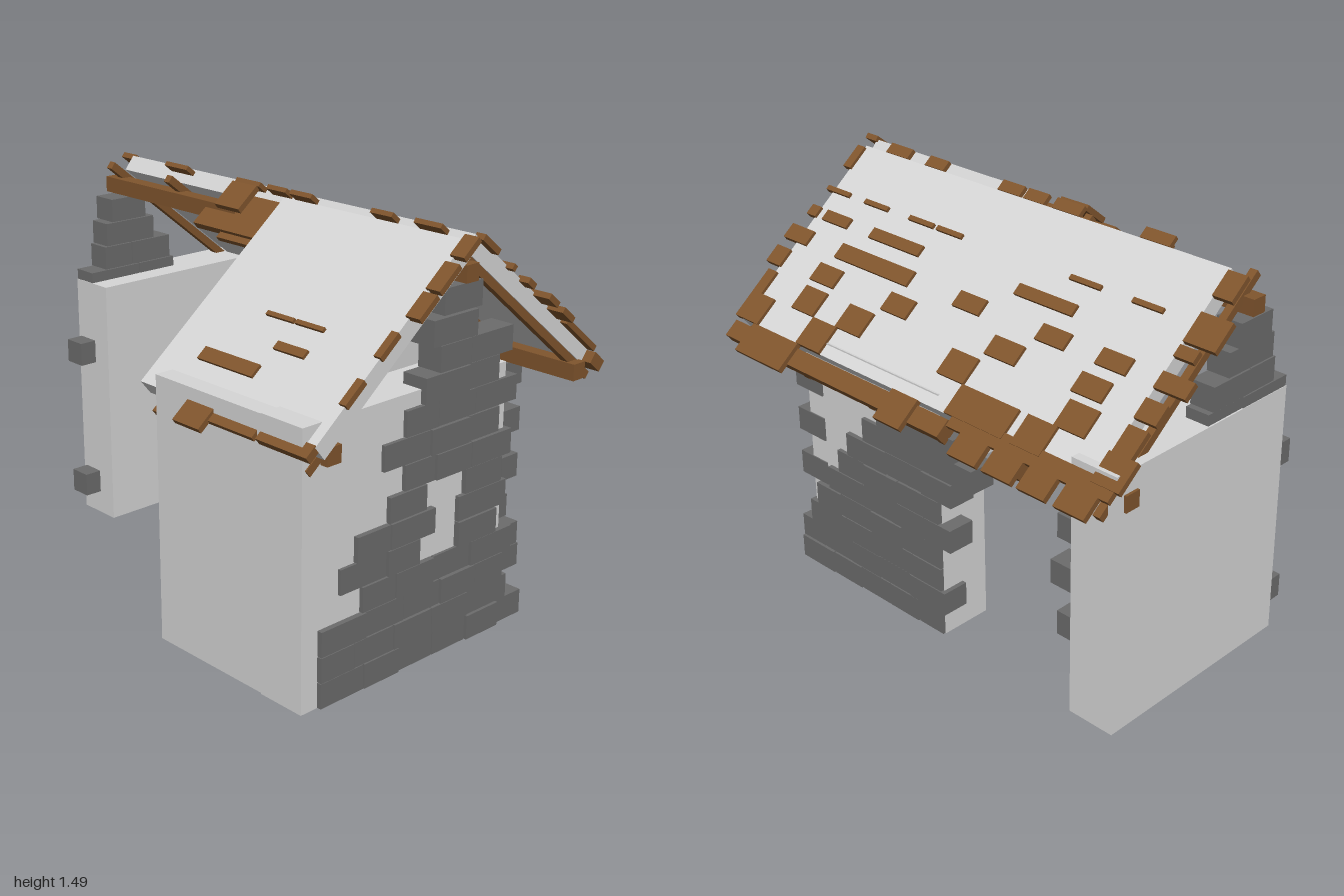
import * as THREE from 'three';

const SLOPE = 0.806, ANGLE = Math.atan(SLOPE), COS = Math.cos(ANGLE), SIN = Math.sin(ANGLE);

export function createModel() {
  const model = new THREE.Group();
  const mat = (name, color) => Object.assign(new THREE.MeshStandardMaterial({ color }), { name });
  const plaster = mat('pale plaster', 0xd6d6d6);
  const stone = mat('grey stone', 0x6c6c6c);
  const wood = mat('brown wood', 0x80552d);

  let seed = 7;
  const rand = () => (seed = (seed * 16807) % 2147483647) / 2147483647;

  const group = (name) => {
    const g = new THREE.Group();
    g.name = name;
    model.add(g);
    return g;
  };
  // Box given by its limits on each axis
  const box = (parent, name, m, x0, x1, y0, y1, z0, z1) => {
    const mesh = new THREE.Mesh(new THREE.BoxGeometry(x1 - x0, y1 - y0, z1 - z0), m);
    mesh.position.set((x0 + x1) / 2, (y0 + y1) / 2, (z0 + z1) / 2);
    mesh.name = name;
    parent.add(mesh);
    return mesh;
  };
  // Box lying on a roof slope: side +1 front, -1 back; a..b is the distance from the ridge,
  // lift is the height of its middle above the roof surface
  const sloped = (parent, name, m, side, x0, x1, a, b, thick, lift, tilt = 0) => {
    const mesh = new THREE.Mesh(new THREE.BoxGeometry(x1 - x0, thick, (b - a) / COS), m);
    const d = (a + b) / 2;
    mesh.position.set((x0 + x1) / 2, 1.47 - (d - 0.04) * SLOPE + lift * COS, side * (d + lift * SIN));
    mesh.rotation.x = side * (ANGLE - tilt);
    mesh.name = name;
    parent.add(mesh);
    return mesh;
  };

  // Plastered walls
  const walls = group('walls');
  box(walls, 'leftWall', plaster, -0.95, -0.76, 0, 0.99, -0.67, 0.2);
  box(walls, 'backWall', plaster, -0.13, 0.585, 0, 0.98, -0.655, -0.45);
  box(walls, 'frontWall', plaster, 0.195, 0.72, 0, 0.985, 0.52, 0.715);
  box(walls, 'rightWall', plaster, 0.72, 0.91, 0, 0.99, -0.24, 0.72);

  // Courses of stones: place(u0, u1, y0, y1, jitter) builds one stone
  const ROW = 0.0938;
  const course = (row, from, to, place) => {
    const n = Math.max(1, Math.round((to - from) / 0.17));
    const shift = n > 1 ? (row % 2 ? 0.03 : -0.03) : 0;
    const cut = (i) => from + ((to - from) * i) / n + (i > 0 && i < n ? shift : 0);
    for (let i = 0; i < n; i++) {
      place(cut(i) + 0.002, cut(i + 1) - 0.002, row * ROW + 0.002, (row + 1) * ROW - 0.001, rand() * 0.014);
    }
  };

  // Right gable stones: row, z from, z to
  const rightGable = group('rightGableStones');
  [[0, -0.37, 0.65], [1, -0.28, 0.65], [2, -0.25, 0.65], [3, -0.29, 0.46], [4, -0.2, 0], [4, 0.19, 0.56],
    [5, -0.25, 0], [5, 0.12, 0.49], [6, -0.22, -0.03], [6, 0.16, 0.34], [7, -0.26, 0.27], [8, -0.2, 0.37],
    [9, -0.29, 0.27], [10, -0.19, 0.19], [11, -0.25, 0.12], [12, -0.06, 0.16], [13, -0.09, 0.1]]
    .forEach(([r, a, b]) => course(r, a, b, (u0, u1, y0, y1, j) =>
      box(rightGable, 'gableStone', stone, 0.83, 0.92 + j, y0, y1, u0, u1)));

  // Left gable remnant above its wall, and the stones left standing out of the broken edges
  const leftGable = group('leftGableStones');
  [[10, -0.22, 0.2], [11, -0.2, 0.13], [12, -0.12, 0.12], [13, -0.08, 0.09]]
    .forEach(([r, a, b]) => course(r, a, b, (u0, u1, y0, y1, j) =>
      box(leftGable, 'gableStone', stone, -0.94 - j, -0.85, y0, y1, u0, u1)));
  for (const y of [0.094, 0.66]) box(leftGable, 'toothStone', stone, -0.935, -0.845, y, y + 0.092, 0.15, 0.27);
  [[0.28, 0.07], [0.47, 0.1], [0.66, 0.07]].forEach(([y, w]) =>
    box(leftGable, 'toothStone', stone, -0.85, -0.76 + w, y, y + 0.092, -0.66, -0.57));

  // Stone facing heaped on the back wall: row, x from, x to
  const backStones = group('backWallStones');
  [[0, -0.13, 0.66], [1, -0.15, 0.66], [2, -0.13, 0.6], [3, -0.13, 0.55], [4, -0.19, 0.48],
    [5, -0.13, 0.42], [6, -0.2, 0.36], [7, -0.3, 0.27], [8, -0.22, 0.18]]
    .forEach(([r, a, b]) => course(r, a, b, (u0, u1, y0, y1, j) =>
      box(backStones, 'wallStone', stone, u0, u1, y0, y1, -0.665 - j, -0.565)));
  for (const r of [4, 6, 8]) box(backStones, 'toothStone', stone, 0.5, 0.65, r * ROW, (r + 1) * ROW, -0.66, -0.57);

  // Roof slabs
  const roof = group('roof');
  sloped(roof, 'backRoofSlab', plaster, -1, -0.87, 0.92, 0.04, 0.69, 0.065, -0.0325);
  sloped(roof, 'frontRoofSlab', plaster, 1, 0.1, 0.95, 0.04, 0.705, 0.065, -0.0325);

  // Timber frame
  const frame = group('timberFrame');
  box(frame, 'ridgeBeam', wood, -0.96, 0.95, 1.322, 1.383, -0.03, 0.03);
  box(frame, 'backEaveBeam', wood, -0.96, 0.95, 0.85, 0.912, -0.635, -0.572);
  box(frame, 'frontEaveBeam', wood, 0.2, 0.94, 0.85, 0.912, 0.58, 0.642);
  for (const x of [-0.9, -0.54, -0.18, 0.18, 0.54, 0.9]) {
    sloped(frame, 'rafter', wood, -1, x - 0.015, x + 0.015, 0, 0.75, 0.03, -0.08);
    if (x > 0.1) sloped(frame, 'rafter', wood, 1, x - 0.015, x + 0.015, 0, 0.75, 0.03, -0.08);
  }
  sloped(frame, 'backFascia', wood, -1, -0.22, 0.95, 0.70, 0.755, 0.045, -0.03);
  sloped(frame, 'frontFascia', wood, 1, 0.35, 0.7, 0.70, 0.74, 0.02, -0.01);
  sloped(frame, 'frontFascia', wood, 1, 0.72, 0.95, 0.70, 0.74, 0.03, -0.01);

  // Back shingles: distance range from the ridge, then the x ranges in that row
  const shingles = group('shingles');
  [[0.69, 0.785, [[-0.92, -0.79], [-0.75, -0.63], [-0.6, -0.47], [-0.44, -0.31], [-0.07, 0.06], [0.58, 0.84]]],
    [0.67, 0.72, [[-0.96, -0.24]]],
    [0.6, 0.69, [[-0.98, -0.86], [-0.64, -0.51], [-0.47, -0.2], [0.46, 0.59], [0.82, 0.95]]],
    [0.52, 0.6, [[-0.95, -0.87], [-0.75, -0.62], [-0.2, -0.07], [0.34, 0.47], [0.6, 0.72], [0.9, 0.95]]],
    [0.44, 0.5, [[-0.96, -0.87], [-0.73, -0.6], [-0.34, -0.2], [0.2, 0.33], [0.6, 0.73], [0.91, 0.99]]],
    [0.36, 0.41, [[-1, -0.87], [-0.75, -0.62], [-0.48, -0.35], [-0.08, 0.05], [0.29, 0.69], [0.86, 0.99]]],
    [0.28, 0.315, [[-0.95, -0.87], [-0.43, -0.16], [0.33, 0.6], [0.73, 0.87], [0.91, 0.96]]],
    [0.205, 0.22, [[-0.74, -0.61], [-0.47, -0.33], [0.2, 0.33], [0.35, 0.48], [0.6, 0.73], [0.82, 0.95]]],
    [0.18, 0.27, [[-1, -0.87]]],
    [0.05, 0.13, [[-0.95, -0.87], [0.91, 0.95]]]]
    .forEach(([a, b, xs]) => xs.forEach(([x0, x1]) =>
      sloped(shingles, 'backShingle', wood, -1, x0, x1, a, b, 0.022, a > 0.65 ? -0.002 : 0.001)));

  // Front shingles, with the loose boards beside the hole: x0, x1, a, b
  [[0.41, 0.54, 0.395, 0.408], [0.55, 0.68, 0.395, 0.408], [0.54, 0.68, 0.47, 0.495], [0.27, 0.54, 0.55, 0.59],
    [0.36, 0.49, 0.69, 0.775], [0.94, 1, 0.12, 0.21], [0.94, 1, 0.22, 0.3], [0.93, 0.96, 0.35, 0.43],
    [0.93, 0.96, 0.5, 0.58], [0.94, 1, 0.03, 0.1], [-0.18, -0.05, 0.03, 0.12]]
    .forEach(([x0, x1, a, b]) => sloped(shingles, 'frontShingle', wood, 1, x0, x1, a, b, 0.022, 0));
  sloped(shingles, 'looseBoard', wood, 1, -0.23, 0.1, 0.13, 0.19, 0.03, -0.02);
  sloped(shingles, 'looseBoard', wood, 1, -0.09, 0.1, 0.05, 0.21, 0.02, -0.03);

  // Ridge shingles lying along the top
  [[-0.6, -0.47], [-0.19, -0.06], [-0.02, 0.08], [0.1, 0.21], [0.5, 0.6], [0.7, 0.82]].forEach(([x0, x1]) =>
    sloped(shingles, 'ridgeShingle', wood, -1, x0, x1, 0, 0.035, 0.018, -0.02));

  return model;
}
